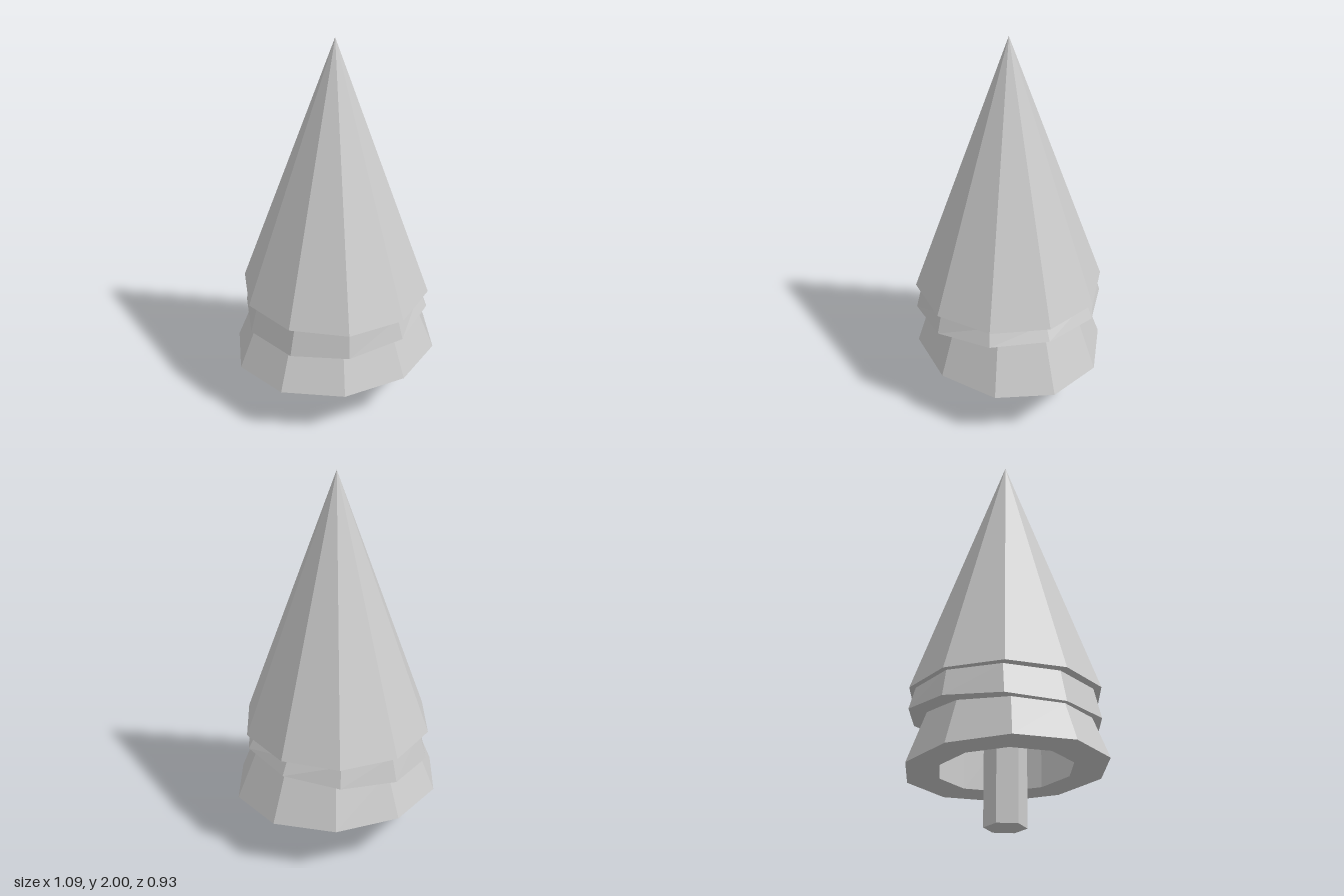
import * as THREE from 'three';

const SIDES = 10;

// One ten-sided loop; y may depend on x, and scale may depend on y.
function loop(rx, rz, y, scale = () => 1) {
  const points = [];
  for (let i = 0; i <= SIDES; i++) {
    const a = (i / SIDES) * Math.PI * 2;
    const x = rx * Math.cos(a);
    const h = y(x);
    const s = scale(h);
    points.push([x * s, h, rz * Math.sin(a) * s]);
  }
  return points;
}

// Joins loops into faceted walls: inner top, inner bottom, outer bottom, outer top.
function skin(loops) {
  const pos = [];
  for (let k = 0; k < loops.length - 1; k++) {
    const a = loops[k], b = loops[k + 1];
    for (let i = 0; i < SIDES; i++) {
      pos.push(...a[i], ...b[i], ...a[i + 1], ...b[i], ...b[i + 1], ...a[i + 1]);
    }
  }
  const geo = new THREE.BufferGeometry();
  geo.setAttribute('position', new THREE.Float32BufferAttribute(pos, 3));
  geo.computeVertexNormals();
  return geo;
}

export function createModel() {
  const tree = new THREE.Group();
  tree.name = 'coniferTree';
  const material = new THREE.MeshStandardMaterial({ color: 0xcccccc, flatShading: true });
  const add = (name, geometry, y = 0) => {
    const mesh = new THREE.Mesh(geometry, material);
    mesh.name = name;
    mesh.position.y = y;
    tree.add(mesh);
  };

  const level = (y) => () => y;
  const tilted = (x) => 0.527 + 0.0875 * x; // underside of the leaning tier

  // Hexagonal trunk, running up inside the hollow skirts
  add('trunk', new THREE.CylinderGeometry(0.105, 0.105, 0.65, 6, 1, false, Math.PI / 2), 0.325);

  // Lower skirt: hollow, slightly wider in x, ending under the leaning tier
  add('lowerTier', skin([
    loop(0.36, 0.32, tilted),
    loop(0.36, 0.32, level(0.28)),
    loop(0.547, 0.48, level(0.28)),
    loop(0.547, 0.48, tilted, (y) => 1 - 0.75 * (y - 0.28)),
  ]));

  // Middle skirt: hollow, with a leaning underside
  add('middleTier', skin([
    loop(0.32, 0.3, level(0.65)),
    loop(0.32, 0.3, tilted),
    loop(0.48, 0.487, tilted),
    loop(0.437, 0.457, level(0.65)),
  ]));

  // Tall pointed crown
  add('crown', new THREE.ConeGeometry(0.486, 1.35, SIDES, 1, false, Math.PI / 2), 1.325);

  return tree;
}
